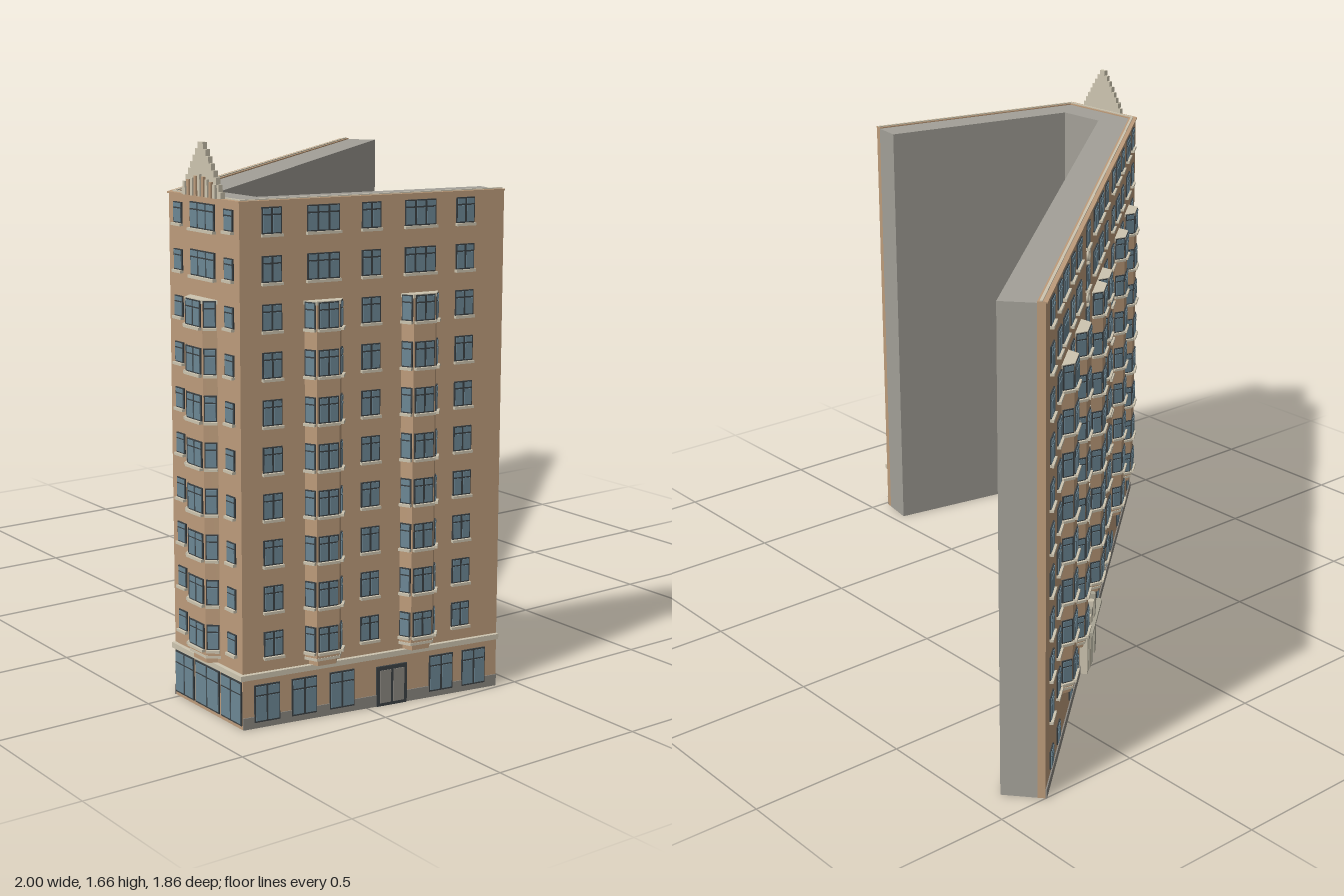
import * as THREE from 'three';
import { mergeGeometries } from 'three/addons/utils/BufferGeometryUtils.js';

const paint = (name, color) => Object.assign(new THREE.MeshStandardMaterial({ color }), { name });
const brick = paint('tan brick', 0xbd9c7b);
const grey = paint('grey render', 0xa3a098);
const stone = paint('pale stone', 0xcdc5b0);
const trim = paint('portal stone', 0xa8a494);
const frame = paint('dark frame', 0x3b4144);
const glass = paint('blue glass', 0x6c8795);
const plinthGrey = paint('plinth grey', 0x8b8780);

// street line of the three facades, as [x, z]
const STREET = [[-1, -0.835], [0.48, 0.89], [0.84, 0.89], [0.985, 0.065]];
const HEIGHT = 1.51;
const ROWS = Array.from({ length: 10 }, (_, i) => 0.246 + i * 0.1343);

function add(parent, name, geometry, material, x = 0, y = 0, z = 0) {
  const mesh = new THREE.Mesh(geometry, material);
  mesh.name = name;
  mesh.position.set(x, y, z);
  parent.add(mesh);
  return mesh;
}

// box whose bottom centre sits at (x, y) on a wall and stands out by d
const box = (parent, name, material, x, y, w, h, d, z = 0) =>
  add(parent, name, new THREE.BoxGeometry(w, h, d), material, x, y + h / 2, z + d / 2);

// mitred offset of an open line; positive goes out to the street
function offset(line, o) {
  const normals = line.slice(1).map((p, i) => {
    const dx = p[0] - line[i][0], dz = p[1] - line[i][1], l = Math.hypot(dx, dz);
    return [-dz / l, dx / l];
  });
  return line.map(([x, z], i) => {
    const a = normals[Math.max(i - 1, 0)], b = normals[Math.min(i, normals.length - 1)];
    const k = o / (1 + a[0] * b[0] + a[1] * b[1]);
    return [x + (a[0] + b[0]) * k, z + (a[1] + b[1]) * k];
  });
}

// upright prism over a plan outline
function prism(parent, name, material, outline, y0, y1) {
  const shape = new THREE.Shape(outline.map(([x, z]) => new THREE.Vector2(x, -z)));
  const g = new THREE.ExtrudeGeometry(shape, { depth: y1 - y0, bevelEnabled: false });
  return add(parent, name, g.rotateX(-Math.PI / 2), material, 0, y0, 0);
}

const band = (parent, name, material, line, inner, outer, y0, y1) =>
  prism(parent, name, material, [...offset(line, outer), ...offset(line, inner).reverse()], y0, y1);

// group lying on a wall: local x runs along it, local z points outward
function wall(parent, name, a, b) {
  const g = new THREE.Group();
  g.name = name;
  g.position.set(a[0], 0, a[1]);
  g.rotation.y = Math.atan2(a[1] - b[1], b[0] - a[0]);
  g.userData.length = Math.hypot(b[0] - a[0], b[1] - a[1]);
  parent.add(g);
  return g;
}

// framed window with n panes and a stone sill, centred on (x, y)
const cache = new Map();
function windowAt(parent, x, y, w, h, n = 2, sill = true) {
  const key = [w.toFixed(3), h, n, sill].join();
  if (!cache.has(key)) {
    const part = (pw, ph, d, px, py) => new THREE.BoxGeometry(pw, ph, d).translate(px, py, d / 2);
    const parts = [part(w, h, 0.004, 0, 0)];
    if (sill) parts.push(part(w * 1.06, 0.008, 0.012, 0, -h / 2 - 0.004));
    const pw = w / n, gap = 0.007;
    for (let i = 0; i < n; i++) {
      const px = (i + 0.5) * pw - w / 2;
      parts.push(part(pw - gap, h * 0.68 - gap / 2, 0.006, px, -h * 0.13));
      parts.push(part(pw - gap, h * 0.25 - gap / 2, 0.006, px, h * 0.35));
    }
    cache.set(key, mergeGeometries(parts, true));
  }
  const mats = [frame, ...(sill ? [stone] : []), ...Array(2 * n).fill(glass)];
  add(parent, 'window', cache.get(key), mats, x, y, 0);
}

// projecting three-sided bay running through eight floors
function bay(parent, x, w, d = 0.033) {
  const g = new THREE.Group();
  g.name = 'bayWindow';
  g.position.x = x;
  parent.add(g);
  const plan = (s) => [[-w / 2 * s, 0], [-w * 0.31 * s, d * s], [w * 0.31 * s, d * s], [w / 2 * s, 0]];
  prism(g, 'bayBody', brick, plan(1), 0.19, 1.215);
  prism(g, 'bayCap', stone, plan(1.06), 1.215, 1.226);
  prism(g, 'bayFoot', stone, plan(1.04), 0.182, 0.19);
  prism(g, 'bayCorbel', brick, plan(0.8), 0.165, 0.182);
  const p = plan(1);
  for (let i = 0; i < 3; i++) {
    const facet = wall(g, 'bayFacet', p[i], p[i + 1]);
    const l = facet.userData.length;
    for (const y of ROWS.slice(0, 8)) windowAt(facet, l / 2, y, l * 0.88, 0.075, i === 1 ? 2 : 1);
  }
}

// one facade column: a bay below with wide windows above, or plain windows
function column(parent, x, w, bayWidth = 0, n = 2, h = 0.074) {
  if (bayWidth) bay(parent, x, bayWidth);
  for (const y of bayWidth ? ROWS.slice(8) : ROWS) windowAt(parent, x, y, w, h, n);
}

// entrance with a stepped pointed surround
function portal(parent, x) {
  const g = new THREE.Group();
  g.name = 'portal';
  g.position.x = x;
  parent.add(g);
  for (let i = -5; i <= 5; i++) {
    const a = Math.abs(i), h = 0.238 - a * 0.017;
    const y0 = a < 2 ? 0.145 : 0;
    box(g, 'portalFin', a % 2 ? stone : trim, i * 0.021, y0, 0.021, h - y0, 0.036 - a * 0.002);
  }
  box(g, 'canopy', trim, 0, 0.145, 0.25, 0.011, 0.044);
  box(g, 'lintelPanel', stone, 0, 0.1, 0.066, 0.045, 0.022);
  box(g, 'door', frame, 0, 0, 0.064, 0.1, 0.009);
  for (const s of [-1, 1]) box(g, 'doorPane', glass, s * 0.015, 0.02, 0.018, 0.065, 0.003, 0.009);
}

export function createModel() {
  const model = new THREE.Group();
  model.name = 'cornerBuilding';

  // wings, brick skin and roof edge
  band(model, 'body', grey, STREET, -0.133, -0.024, 0, HEIGHT - 0.004);
  band(model, 'brickSkin', brick, STREET, -0.024, 0, 0, HEIGHT - 0.005);
  band(model, 'coping', brick, STREET, -0.024, 0.005, HEIGHT - 0.005, HEIGHT);
  band(model, 'copingStone', stone, STREET, -0.017, -0.009, HEIGHT, HEIGHT + 0.003);
  band(model, 'shopCornice', stone, STREET.slice(1), 0, 0.013, 0.15, 0.166);
  band(model, 'leftPlinth', plinthGrey, STREET.slice(0, 2), 0, 0.004, 0, 0.03);
  band(model, 'rightPlinth', plinthGrey, STREET.slice(2), 0, 0.003, 0, 0.035);

  const [left, corner, right] = ['leftFacade', 'cornerFacade', 'rightFacade']
    .map((name, i) => wall(model, name, STREET[i], STREET[i + 1]));

  // long left facade, columns listed by x
  const along = (x) => (x + 1) / 1.48 * left.userData.length;
  for (const x of [-0.93, -0.84, -0.665, -0.125, 0, 0.19, 0.405]) column(left, along(x), 0.066);
  for (const x of [-0.76, -0.575, -0.315, -0.22, 0.095, 0.305]) column(left, along(x), 0.1, 0.13, 3);
  for (const x of [-0.93, -0.84, -0.665, -0.57, -0.31, -0.22, -0.125, -0.04, 0.05, 0.19, 0.28, 0.415])
    windowAt(left, along(x), 0.076, 0.056, 0.058, 2, false);

  // stair column with ring ornaments between floors
  const stair = along(-0.44);
  column(left, stair, 0.066);
  for (const y of ROWS.slice(0, 9)) {
    add(left, 'ringOrnament', new THREE.TorusGeometry(0.017, 0.006, 5, 14), stone, stair, y + 0.068, 0.003);
    box(left, 'ornamentDrop', stone, stair, y + 0.04, 0.03, 0.01, 0.008);
  }
  portal(left, stair);

  // narrow corner facade
  for (const x of [0.05, 0.31]) column(corner, x, 0.044, 0, 1, 0.06);
  column(corner, 0.178, 0.124, 0.135, 3);
  for (const [x, w, n] of [[0.055, 0.1, 2], [0.178, 0.126, 2], [0.304, 0.106, 2]])
    windowAt(corner, x, 0.077, w, 0.13, n, false);

  // right facade, columns listed by distance from the corner
  for (const x of [0.096, 0.404, 0.708]) column(right, x, 0.06);
  for (const x of [0.254, 0.561]) column(right, x, 0.1, 0.115, 3);
  for (const x of [0.075, 0.193, 0.315, 0.645, 0.757]) windowAt(right, x, 0.073, 0.08, 0.112, 2, false);
  box(right, 'sideDoor', frame, 0.478, 0, 0.1, 0.122, 0.006);
  for (const s of [-1, 1]) box(right, 'sideDoorPane', plinthGrey, 0.478 + s * 0.022, 0.01, 0.036, 0.1, 0.002, 0.006);

  // stepped crown above the corner
  const crown = new THREE.Group();
  crown.name = 'crown';
  crown.position.set(0.66, HEIGHT, 0.883);
  model.add(crown);
  const steps = [0.2, 0.18, 0.156, 0.132, 0.106, 0.08, 0.054, 0.026];
  steps.forEach((w, i) => box(crown, 'crownStep', stone, 0, i * 0.0188, w, 0.0188, 0.014));
  for (let i = -4; i <= 4; i++)
    box(crown, 'crownFin', i % 2 ? brick : stone, i * 0.019, 0, 0.011, 0.062 - Math.abs(i) * 0.006, 0.008, 0.014);

  return model;
}
